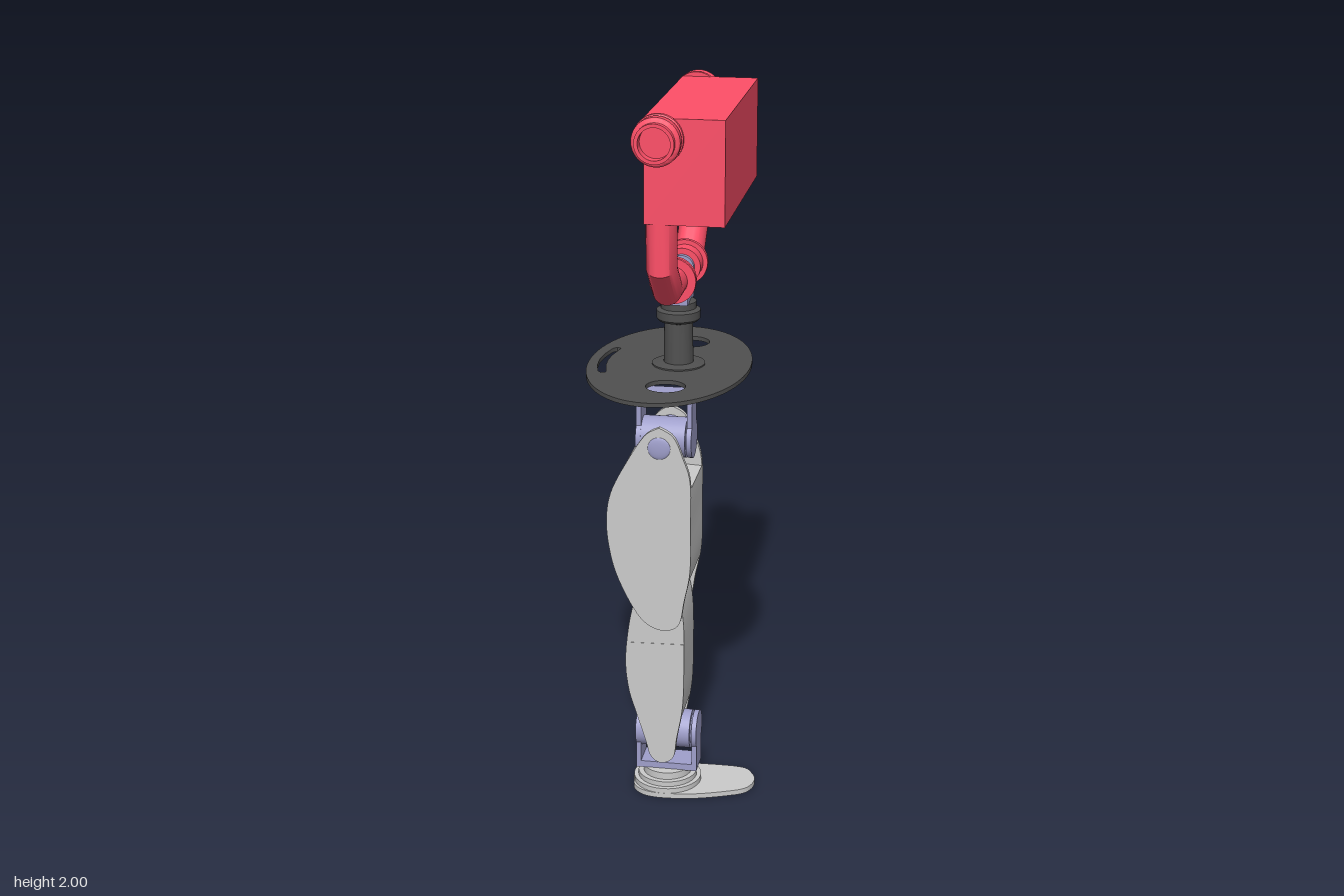
import * as THREE from 'three';
import { toCreasedNormals } from 'three/addons/utils/BufferGeometryUtils.js';

const mat = (color) => new THREE.MeshStandardMaterial({ color });
const V2 = (p) => p.map(([x, y]) => new THREE.Vector2(x, y));

export function createModel() {
  const root = new THREE.Group();
  const red = mat(0xff4f68), dark = mat(0x505050), steel = mat(0xa0a0cc), grey = mat(0xcccccc);

  const add = (name, geometry, material, x = 0, y = 0, z = 0) => {
    const m = new THREE.Mesh(geometry, material);
    m.name = name;
    m.position.set(x, y, z);
    root.add(m);
    return m;
  };
  const box = (name, m, x0, x1, y0, y1, z0, z1) => add(name,
    new THREE.BoxGeometry(x1 - x0, y1 - y0, z1 - z0), m, (x0 + x1) / 2, (y0 + y1) / 2, (z0 + z1) / 2);
  // Cylinder of given radius and length along an axis
  const rod = (name, m, axis, r, len, x, y, z) => {
    const g = new THREE.CylinderGeometry(r, r, len, 32);
    if (axis === 'x') g.rotateZ(Math.PI / 2);
    if (axis === 'z') g.rotateX(Math.PI / 2);
    return add(name, g, m, x, y, z);
  };
  // Turned part from [radius, height] points, with crisp edges
  const turned = (pts) => toCreasedNormals(new THREE.LatheGeometry(V2(pts), 40), 0.6);
  // Closed outline through points
  const outline = (pts) => {
    const curve = new THREE.SplineCurve(V2([...pts, pts[0]]));
    return new THREE.Shape(curve.getPoints(pts.length * 6).slice(0, -1));
  };
  // Outline in the xy plane, extruded from z0 to z1
  const slab = (name, m, shape, z0, z1) => add(name, toCreasedNormals(
    new THREE.ExtrudeGeometry(shape, { depth: z1 - z0, bevelEnabled: false, curveSegments: 40 }), 0.6), m, 0, 0, z0);
  // Outline in the xz plane, extruded from y0 to y1
  const sheet = (name, m, shape, y0, y1) => {
    const g = new THREE.ExtrudeGeometry(shape, { depth: y1 - y0, bevelEnabled: false, curveSegments: 48 });
    g.rotateX(Math.PI / 2);
    return add(name, toCreasedNormals(g, 0.6), m, 0, y1, 0);
  };

  // Chest
  box('chest', red, -0.04, 0.175, 1.706, 1.988, -0.307, 0.307);

  // Shoulder sockets and the pipes under the chest
  for (const s of [1, -1]) {
    const socket = turned([[0, 0], [0.067, 0], [0.067, 0.014], [0.06, 0.018], [0.065, 0.026], [0.065, 0.05],
      [0.06, 0.056], [0.053, 0.058], [0.053, 0.075], [0.043, 0.075], [0.043, 0.045], [0, 0.045]]);
    socket.rotateX(s * Math.PI / 2);
    add('shoulderSocket', socket, red, 0, 1.934, s * 0.302);

    // Mitred round pipe built from rings at each bend
    const rings = [[0.265, 1.75, 0], [0.265, 1.58, Math.PI / 8], [0.178, 1.497, 3 * Math.PI / 8], [0.07, 1.497, Math.PI / 2]];
    const N = 28, r = 0.042, k = 1 / Math.cos(Math.PI / 8), pos = [], idx = [];
    rings.forEach(([z, y, a], i) => {
      const w = i === 1 || i === 2 ? r * k : r;
      for (let j = 0; j <= N; j++) {
        const t = j / N * Math.PI * 2;
        pos.push(r * Math.cos(t), y - w * Math.sin(t) * Math.sin(a), s * (z + w * Math.sin(t) * Math.cos(a)));
        if (i < 3 && j < N) {
          const p = i * (N + 1) + j, q = p + N + 1;
          if (s > 0) idx.push(p, q, p + 1, p + 1, q, q + 1);
          else idx.push(p, p + 1, q, p + 1, q + 1, q);
        }
      }
    });
    const pipe = new THREE.BufferGeometry();
    pipe.setAttribute('position', new THREE.Float32BufferAttribute(pos, 3));
    pipe.setIndex(idx);
    const pm = red.clone();
    pm.side = THREE.DoubleSide;
    add('chestPipe', toCreasedNormals(pipe, 0.6), pm);
  }
  rod('pipeFlange', red, 'z', 0.065, 0.012, 0, 1.497, 0.094);
  rod('pipeFlange', red, 'z', 0.063, 0.012, 0, 1.497, 0.076);
  rod('pipeFlange', red, 'z', 0.052, 0.03, 0, 1.497, 0.085);
  rod('pipeFlange', red, 'z', 0.065, 0.015, 0, 1.497, -0.113);
  rod('pipeFlange', red, 'z', 0.052, 0.046, 0, 1.497, -0.083);

  // Waist joint
  box('waistYokeBase', steel, -0.035, 0.035, 1.415, 1.465, -0.055, 0.055);
  for (const s of [1, -1]) {
    box('waistYokeArm', steel, -0.035, 0.035, 1.44, 1.497, s * 0.053 - 0.008, s * 0.053 + 0.008);
    rod('waistYokeEye', steel, 'z', 0.035, 0.02, 0, 1.497, s * 0.055);
  }

  // Waist column
  add('waistColumn', turned([[0, 1.222], [0.075, 1.222], [0.075, 1.234], [0.042, 1.238], [0.04, 1.355],
    [0.056, 1.36], [0.062, 1.367], [0.062, 1.39], [0.05, 1.396], [0.05, 1.415], [0.038, 1.422], [0, 1.422]]), dark);

  // Pelvis plate with two round holes and a curved slot
  const plate = new THREE.Shape();
  plate.absellipse(-0.025, 0, 0.23, 0.36, 0, Math.PI * 2);
  for (const s of [1, -1]) {
    const hole = new THREE.Path();
    hole.absellipse(0, s * 0.21, 0.055, 0.052, 0, Math.PI * 2, true);
    plate.holes.push(hole);
  }
  const slot = new THREE.Path(V2([[-0.227, 0], [-0.223, 0.05], [-0.211, 0.105], [-0.2, 0.119], [-0.187, 0.112],
    [-0.199, 0.05], [-0.203, 0], [-0.199, -0.05], [-0.187, -0.112], [-0.2, -0.119], [-0.211, -0.105], [-0.223, -0.05]]));
  plate.holes.push(slot);
  sheet('pelvisPlate', dark, plate, 1.218, 1.23);

  // Universal joint: two crossed rods with domed caps
  const crossJoint = (name, y, z, halfZ, halfX, r) => {
    rod(name + 'PinX', steel, 'x', 0.056, 2 * halfX, 0, y, z);
    rod(name + 'PinZ', steel, 'z', r, 2 * halfZ, 0, y, z);
    for (const s of [1, -1]) {
      const cap = add(name + 'Cap', new THREE.SphereGeometry(0.042, 24, 12), steel, s * halfX, y, z);
      cap.scale.x = 0.25;
      const end = add(name + 'Cap', new THREE.SphereGeometry(r, 24, 12), steel, 0, y, z + s * halfZ);
      end.scale.z = 0.2;
    }
  };

  // Hip
  box('hipYokeTop', steel, -0.075, 0.08, 1.195, 1.217, 0.172, 0.25);
  for (const x of [-0.068, 0.073]) {
    box('hipYokeArm', steel, x - 0.007, x + 0.007, 1.085, 1.2, 0.172, 0.25);
    rod('hipYokeEye', steel, 'x', 0.056, 0.014, x, 1.086, 0.211);
  }
  crossJoint('hip', 1.086, 0.21, 0.104, 0.062, 0.032);

  // Thigh: two side plates with a shorter body between them
  const thigh = outline([[0, 1.145], [-0.04, 1.12], [-0.088, 1.045], [-0.135, 0.95], [-0.148, 0.86], [-0.136, 0.76],
    [-0.108, 0.675], [-0.055, 0.58], [0, 0.546], [0.052, 0.562], [0.07, 0.64], [0.086, 0.73], [0.087, 0.86],
    [0.086, 0.99], [0.066, 1.06], [0.04, 1.12]]);
  slab('thighPlate', grey, thigh, 0.3, 0.315);
  slab('thighPlate', grey, thigh, 0.107, 0.122);
  const clip = (shape, lo, hi) => new THREE.Shape(shape.getPoints().map((p) =>
    new THREE.Vector2(p.x, THREE.MathUtils.clamp(p.y, lo, hi))).filter((p) => p.y > lo && p.y < hi));
  slab('thighBody', grey, clip(thigh, 0.69, 0.99), 0.12, 0.302);

  // Shin with ankle lugs
  const shin = outline([[0, 0.68], [-0.06, 0.65], [-0.085, 0.58], [-0.101, 0.45], [-0.093, 0.35], [-0.07, 0.27],
    [-0.045, 0.19], [-0.03, 0.14], [0, 0.12], [0.035, 0.14], [0.045, 0.2], [0.062, 0.3], [0.066, 0.42],
    [0.064, 0.57], [0.045, 0.65]]);
  slab('shinBody', grey, clip(shin, 0.255, 0.675), 0.13, 0.296);
  slab('ankleLug', grey, clip(shin, 0.1, 0.5), 0.278, 0.297);
  slab('ankleLug', grey, clip(shin, 0.1, 0.5), 0.128, 0.14);
  rod('kneePin', grey, 'z', 0.035, 0.19, 0, 0.61, 0.211);

  // Ankle
  crossJoint('ankle', 0.18, 0.187, 0.095, 0.072, 0.035);
  box('ankleYokeBase', steel, -0.085, 0.092, 0.065, 0.085, 0.145, 0.23);
  for (const x of [-0.078, 0.085]) {
    box('ankleYokeArm', steel, x - 0.007, x + 0.007, 0.07, 0.18, 0.145, 0.23);
    rod('ankleYokeEye', steel, 'x', 0.056, 0.014, x, 0.18, 0.187);
  }

  // Foot: long sole with stepped ankle plates
  const sole = outline([[-0.1, 0.188], [-0.085, 0.125], [-0.03, 0.094], [0.06, 0.09], [0.2, 0.09], [0.24, 0.122],
    [0.253, 0.165], [0.235, 0.213], [0.185, 0.242], [0.08, 0.277], [-0.03, 0.284], [-0.085, 0.25]]);
  sheet('sole', grey, sole, 0, 0.015);
  const steps = [[0.098, 0.015, 0.03], [0.085, 0.03, 0.045], [0.07, 0.045, 0.066]];
  for (const [r, y0, y1] of steps) rod('anklePlate', grey, 'y', r, y1 - y0, 0, (y0 + y1) / 2, 0.188);

  return root;
}
